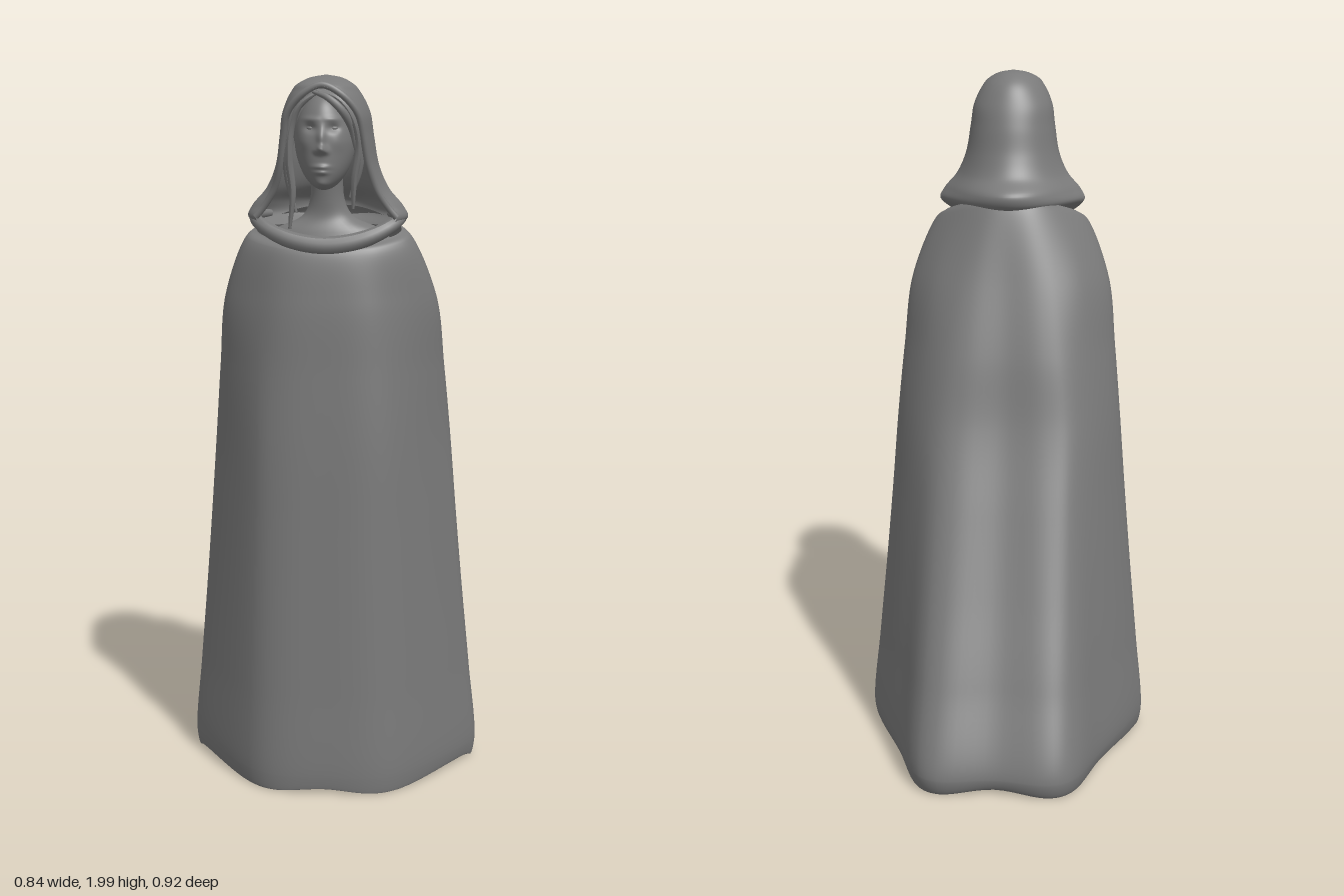
import * as THREE from 'three';

const material = new THREE.MeshStandardMaterial({ color: 0x7a7a7a, side: THREE.DoubleSide });
const V = (x, y, z) => new THREE.Vector3(x, y, z);

function add(group, name, geometry) {
  const mesh = new THREE.Mesh(geometry, material);
  mesh.name = name;
  group.add(mesh);
  return mesh;
}

// Smooth skin through a stack of rings (equal numbers of points, bottom to top).
function loft(rings, nu, nv, closed) {
  const lines = rings.map(r => new THREE.CatmullRomCurve3(r, closed).getPoints(nu));
  const cols = closed ? nu : nu + 1;
  const pos = [], index = [];
  for (let i = 0; i < cols; i++) {
    const column = new THREE.CatmullRomCurve3(lines.map(l => l[i]));
    for (const p of column.getPoints(nv)) pos.push(p.x, p.y, p.z);
  }
  const n = nv + 1;
  for (let i = 0; i < nu; i++) {
    for (let j = 0; j < nv; j++) {
      const a = i * n + j, b = ((i + 1) % cols) * n + j;
      index.push(a, b, b + 1, a, b + 1, a + 1);
    }
  }
  const g = new THREE.BufferGeometry();
  g.setAttribute('position', new THREE.Float32BufferAttribute(pos, 3));
  g.setIndex(index);
  g.computeVertexNormals();
  return g;
}

// Closed symmetric ring from half an outline of [x, z], front to back.
// wave lifts every third point, slope raises the ring towards the back.
function mirrorRing(half, y, s = 1, wave = 0, slope = 0) {
  const right = half.map(([x, z], i) =>
    V(x * s, y + (i % 3 === 0 ? wave : 0) + slope * (0.36 - z), 0.2 + (z - 0.2) * s));
  const left = right.slice(1, -1).reverse().map(p => V(-p.x, p.y, p.z));
  return [...right, ...left];
}

const blend = (a, b, t) => a.map(([x, z], i) => [x + (b[i][0] - x) * t, z + (b[i][1] - z) * t]);

function ellipseRing(y, w, d, zc) {
  return Array.from({ length: 16 }, (_, i) => {
    const a = i / 16 * Math.PI * 2;
    return V(w * Math.sin(a), y, zc + d * Math.cos(a));
  });
}

// Tube whose radius swells and tapers along its length.
function taperedTube(points, radius) {
  const curve = new THREE.CatmullRomCurve3(points.map(p => V(...p)));
  const g = new THREE.TubeGeometry(curve, 40, radius, 10);
  const p = g.attributes.position, v = V(0, 0, 0);
  for (let i = 0; i < p.count; i++) {
    const t = Math.floor(i / 11) / 40;
    const c = curve.getPointAt(t);
    v.fromBufferAttribute(p, i).sub(c).multiplyScalar(0.1 + 0.9 * Math.sin(Math.PI * (0.1 + 0.8 * t)));
    p.setXYZ(i, c.x + v.x, c.y + v.y, c.z + v.z);
  }
  g.computeVertexNormals();
  return g;
}

// Head: an ellipsoid with the features pushed out or in as soft bumps.
function headGeometry() {
  const g = new THREE.SphereGeometry(1, 110, 110);
  const p = g.attributes.position;
  const bump = (dx, dy, sx, sy) => Math.exp(-((dx / sx) ** 2) - (dy / sy) ** 2);
  for (let i = 0; i < p.count; i++) {
    const nx = p.getX(i), ny = p.getY(i), nz = p.getZ(i);
    const low = Math.max(0, -ny);
    const x = nx * 0.081 * (1 - 0.1 * low), y = 1.825 + ny * 0.125, a = Math.abs(x);
    let z = 0.335 + nz * 0.1 + 0.025 * low * low;
    if (nz > 0) {
      const r = Math.max(0.05, Math.sqrt(1 - ny * ny));
      z += nz * 0.1 * (r ** -0.4 - 1);
      z += Math.min(1, nz * 3) * (
        0.022 * bump(x, y - 1.808, 0.012, 0.011) + 0.012 * bump(x, y - 1.835, 0.01, 0.024) // nose
        + 0.005 * bump(a - 0.014, y - 1.802, 0.007, 0.007)                                 // nostrils
        - 0.011 * bump(a - 0.03, y - 1.862, 0.017, 0.011)                                 // eye sockets
        + 0.004 * bump(a - 0.03, y - 1.885, 0.024, 0.007)                                 // brows
        + 0.007 * bump(x, y - 1.762, 0.02, 0.006) + 0.007 * bump(x, y - 1.748, 0.017, 0.006) // lips
        + 0.005 * bump(x, y - 1.717, 0.02, 0.011)                                         // chin
        + 0.004 * bump(a - 0.045, y - 1.825, 0.018, 0.022));                              // cheeks
    }
    p.setXYZ(i, x, y, z);
  }
  g.computeVertexNormals();
  return g;
}

export function createModel() {
  const model = new THREE.Group();

  // Cloak: half outlines from front to back at the hem, hips, chest and shoulders
  const hem = [[0, 0.415], [0.14, 0.405], [0.22, 0.36], [0.40, 0.125], [0.42, 0.08],
    [0.405, 0.02], [0.305, -0.23], [0.225, -0.42], [0.16, -0.458], [0, -0.44]];
  const hips = [[0, 0.395], [0.12, 0.388], [0.19, 0.355], [0.315, 0.19], [0.336, 0.14],
    [0.325, 0.09], [0.26, -0.02], [0.19, -0.083], [0.12, -0.098], [0, -0.088]];
  const chest = [[0, 0.38], [0.11, 0.37], [0.18, 0.335], [0.278, 0.25], [0.295, 0.2],
    [0.285, 0.16], [0.22, 0.07], [0.15, 0.025], [0.09, 0.01], [0, 0.012]];
  const shoulders = [[0, 0.358], [0.08, 0.352], [0.14, 0.335], [0.21, 0.285], [0.226, 0.25],
    [0.214, 0.21], [0.165, 0.15], [0.11, 0.105], [0.06, 0.082], [0, 0.075]];
  const cloak = [
    mirrorRing(hem, 0.06, 0.955, 0.008), mirrorRing(hem, 0.01, 0.975, 0.012), mirrorRing(hem, 0.06),
    mirrorRing(blend(hem, hips, 0.25), 0.295), mirrorRing(blend(hem, hips, 0.52), 0.53),
    mirrorRing(blend(hem, hips, 0.77), 0.765), mirrorRing(hips, 1.0),
    mirrorRing(blend(hips, chest, 0.45), 1.2), mirrorRing(chest, 1.4),
    mirrorRing(shoulders, 1.535, 1, 0, 0.3), mirrorRing(shoulders, 1.55, 0.88, 0, 0.33),
  ];
  add(model, 'cloak', loft(cloak, 108, 130, true));

  // Hood rows: y, half width, half opening, back z, front z, flare of the cowl
  const rows = [
    [1.595, 0.19, 0.175, 0.1, 0.325, 1], [1.625, 0.218, 0.19, 0.06, 0.325, 1], [1.655, 0.205, 0.165, 0.055, 0.33, 1],
    [1.7, 0.167, 0.137, 0.108, 0.345, 0.6], [1.76, 0.14, 0.118, 0.138, 0.37, 0.25],
    [1.84, 0.126, 0.105, 0.157, 0.395, 0.1], [1.9, 0.117, 0.092, 0.176, 0.415, 0],
    [1.948, 0.096, 0.052, 0.2, 0.43, 0], [1.972, 0.078, 0, 0.222, 0.43, 0],
    [1.991, 0.045, 0, 0.255, 0.37, 0], [2.0, 0.0005, 0, 0.305, 0.306, 0],
  ];
  const hoodRings = rows.map(([y, w, open, zb, zf, flare]) => {
    const end = Math.PI - Math.asin(open / w), zc = zb + (zf - zb) * (0.5 + 0.28 * flare);
    return Array.from({ length: 17 }, (_, i) => {
      const a = end * (1 - i / 8), c = Math.cos(a);
      return V(w * Math.sin(a), y, c > 0 ? zc - (zc - zb) * c ** (1 + flare) : zc + (zf - zc) * c / Math.cos(end));
    });
  });
  add(model, 'hood', loft(hoodRings, 64, 80, false));

  // Thin rolled edge of the hood opening
  const edge = rows.slice(1, 9).map(([y, , open, , zf]) => V(open, y, zf - 0.004));
  const rim = [...edge, ...edge.slice(0, -1).reverse().map(p => V(-p.x, p.y, p.z))];
  add(model, 'hoodRim', new THREE.TubeGeometry(new THREE.CatmullRomCurve3(rim), 90, 0.009, 10));

  // Rolled collar dipping across the front
  const collarHalf = [[0, 1.551, 0.35], [0.07, 1.559, 0.346], [0.13, 1.578, 0.334], [0.18, 1.605, 0.31],
    [0.2, 1.625, 0.265], [0.165, 1.628, 0.21]];
  const collar = [...collarHalf.slice(1).reverse().map(([x, y, z]) => [-x, y, z]), ...collarHalf];
  add(model, 'collar', taperedTube(collar, 0.025));

  // Neck running into the upper chest
  const body = [[1.42, 0.2, 0.09, 0.255], [1.53, 0.19, 0.088, 0.258], [1.585, 0.15, 0.075, 0.26],
    [1.625, 0.07, 0.052, 0.27], [1.67, 0.047, 0.045, 0.28], [1.77, 0.044, 0.045, 0.3]];
  add(model, 'neckAndChest', loft(body.map(r => ellipseRing(...r)), 40, 30, true));

  // Head and eyes
  add(model, 'head', headGeometry());
  for (const side of [1, -1]) {
    const eye = add(model, side > 0 ? 'leftEye' : 'rightEye', new THREE.SphereGeometry(0.013, 20, 14));
    eye.scale.y = 0.55;
    eye.position.set(side * 0.03, 1.862, 0.404);
  }

  // Hair: a cap under the hood, a swept fringe and loose side locks
  const cap = add(model, 'hairCap', new THREE.SphereGeometry(1, 40, 30));
  cap.scale.set(0.09, 0.115, 0.1);
  cap.position.set(0, 1.855, 0.295);
  const locks = [
    [[-0.01, 1.955, 0.405], [-0.055, 1.925, 0.405], [-0.083, 1.87, 0.39], [-0.092, 1.78, 0.375], [-0.085, 1.69, 0.36], [-0.095, 1.595, 0.345]],
    [[-0.02, 1.952, 0.4], [-0.075, 1.9, 0.395], [-0.097, 1.82, 0.378], [-0.097, 1.73, 0.36], [-0.078, 1.64, 0.345]],
    [[-0.025, 1.955, 0.405], [0.015, 1.94, 0.425], [0.05, 1.91, 0.425], [0.075, 1.865, 0.4], [0.087, 1.8, 0.38]],
    [[-0.015, 1.958, 0.4], [0.045, 1.935, 0.415], [0.08, 1.885, 0.405], [0.092, 1.81, 0.38], [0.08, 1.73, 0.365], [0.075, 1.65, 0.345]],
    [[0.03, 1.95, 0.4], [0.083, 1.89, 0.395], [0.098, 1.81, 0.375], [0.09, 1.74, 0.36], [0.068, 1.68, 0.35]],
  ];
  const hair = new THREE.Group();
  hair.name = 'hairLocks';
  locks.forEach((p, i) => add(hair, 'hairLock' + (i + 1), taperedTube(p, 0.011)));
  model.add(hair);

  return model;
}
